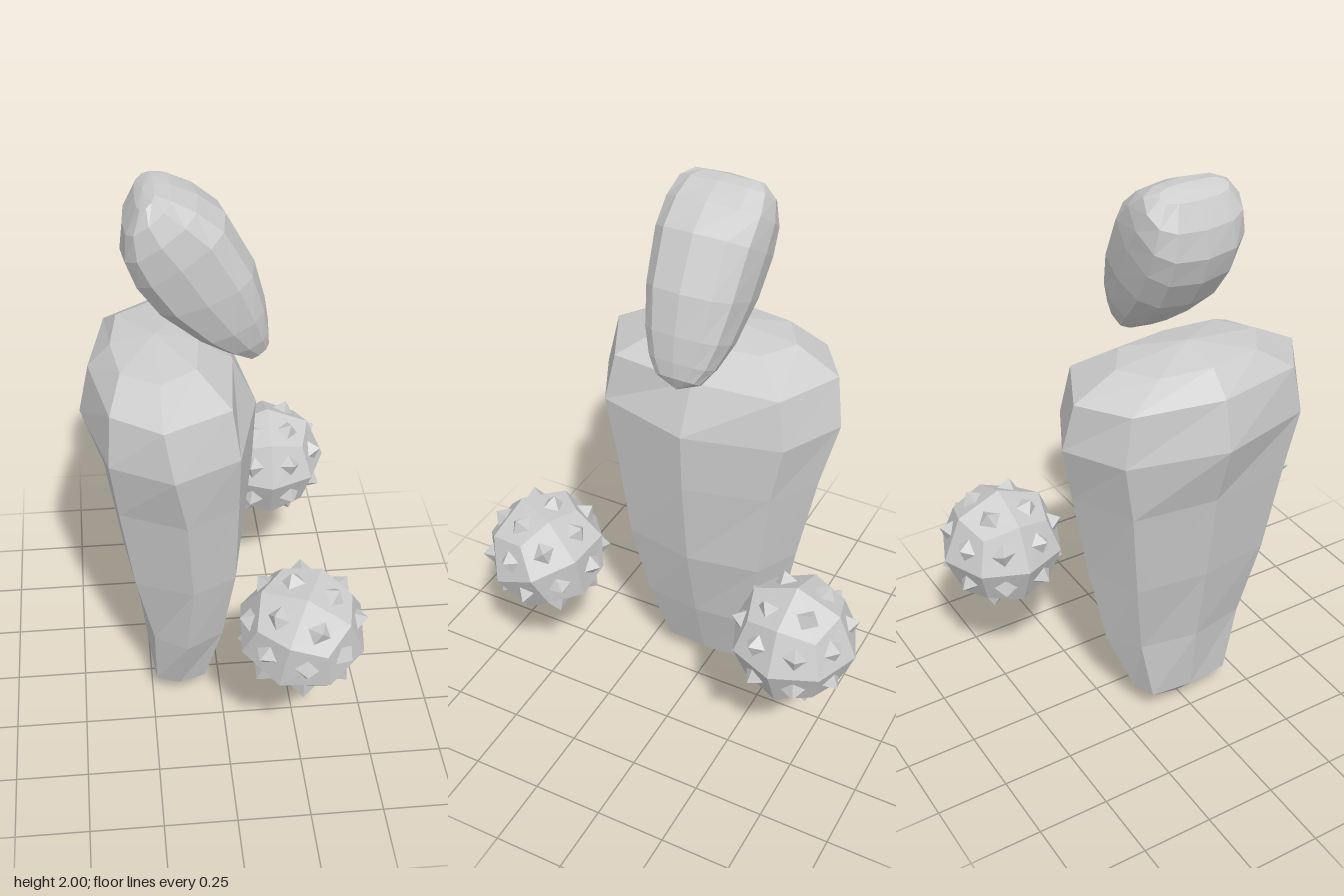
import * as THREE from 'three';

const grey = new THREE.MeshStandardMaterial({ color: 0xcccccc, flatShading: true });
grey.name = 'light grey';

// Skin between rings of points (listed bottom to top), closed by a point at each end
function loft(rings, bottom, top) {
  const n = rings[0].length, pos = [];
  const tri = (...points) => points.forEach((p) => pos.push(...p));
  for (let k = 0; k < n; k++) {
    const m = (k + 1) % n;
    tri(bottom, rings[0][k], rings[0][m]);
    for (let j = 0; j < rings.length - 1; j++) {
      const a = rings[j], b = rings[j + 1];
      tri(a[k], b[k], a[m]);
      tri(a[m], b[k], b[m]);
    }
    const last = rings[rings.length - 1];
    tri(last[k], top, last[m]);
  }
  return fromPositions(pos);
}

function fromPositions(pos) {
  const g = new THREE.BufferGeometry();
  g.setAttribute('position', new THREE.Float32BufferAttribute(pos, 3));
  g.computeVertexNormals();
  return g;
}

function named(name, geometry) {
  const mesh = new THREE.Mesh(geometry, grey);
  mesh.name = name;
  return mesh;
}

// Eight-sided tapering body
function bodyGeometry() {
  // y, front x, front corner x, side x, back corner x, back x, corner z, side z
  const rows = [
    [0.10, -0.05, -0.06, -0.155, -0.235, -0.25, 0.15, 0.18],
    [0.35, 0.02, 0.0, -0.13, -0.24, -0.28, 0.2, 0.275],
    [0.65, 0.085, 0.04, -0.11, -0.30, -0.335, 0.25, 0.33],
    [0.98, 0.12, 0.045, -0.13, -0.345, -0.385, 0.29, 0.39],
    [1.20, 0.13, 0.045, -0.17, -0.37, -0.455, 0.33, 0.44],
    [1.37, 0.05, 0.02, -0.2, -0.36, -0.42, 0.3, 0.41],
    [1.45, -0.06, -0.08, -0.2, -0.32, -0.345, 0.18, 0.26],
  ];
  const rings = rows.map(([y, f, fc, s, bc, b, cz, sz]) => [
    [f, y, 0], [fc, y, cz], [s, y, sz], [bc, y, cz],
    [b, y, 0], [bc, y, -cz], [s, y, -sz], [fc, y, -cz],
  ]);
  return loft(rings, [-0.16, 0, 0], [-0.2, 1.48, 0]);
}

// Slanted head: rounded-square sections along a tilted axis
function headGeometry() {
  // underside x, y, face side x, y, half width
  const rows = [
    [0.09, 1.4, 0.165, 1.455, 0.075],
    [0.02, 1.435, 0.163, 1.51, 0.11],
    [-0.07, 1.49, 0.15, 1.6, 0.14],
    [-0.2, 1.6, 0.115, 1.73, 0.165],
    [-0.27, 1.7, 0.025, 1.895, 0.178],
    [-0.3, 1.79, -0.06, 1.96, 0.178],
    [-0.29, 1.88, -0.14, 1.995, 0.162],
    [-0.25, 1.96, -0.19, 1.998, 0.12],
  ];
  const round = (v) => Math.sign(v) * Math.abs(v) ** 0.72;
  const rings = rows.map(([bx, by, fx, fy, w]) => Array.from({ length: 12 }, (_, k) => {
    const a = (k / 12) * Math.PI * 2;
    const t = (1 + round(Math.cos(a))) / 2;
    return [bx + (fx - bx) * t, by + (fy - by) * t, 0.005 + w * round(Math.sin(a))];
  }));
  return loft(rings, [0.14, 1.398, 0.005], [-0.225, 1.985, 0.005]);
}

// Ball of 24 kite faces, with a small four-sided spike on each
function addHand(group, side, rotation) {
  const radius = 0.217;
  const ball = new THREE.BoxGeometry(2, 2, 2, 2, 2, 2);
  const p = ball.attributes.position, v = new THREE.Vector3();
  for (let i = 0; i < p.count; i++) {
    v.fromBufferAttribute(p, i);
    const corner = v.lengthSq() > 2.5 ? 0.96 : 1;
    v.setLength(radius * corner);
    p.setXYZ(i, v.x, v.y, v.z);
  }
  ball.computeVertexNormals();

  const spikes = [], idx = ball.index.array;
  for (let q = 0; q < idx.length; q += 6) {
    const c = [0, 1, 4, 2].map((o) => new THREE.Vector3().fromBufferAttribute(p, idx[q + o]));
    const centre = new THREE.Vector3();
    c.forEach((corner) => centre.addScaledVector(corner, 0.25));
    const base = c.map((corner, i) =>
      corner.clone().add(c[(i + 1) % 4]).multiplyScalar(0.5).lerp(centre, 0.45));
    const tip = centre.clone().setLength(radius * 1.04);
    base.forEach((b, i) => {
      for (const point of [b, base[(i + 1) % 4], tip]) spikes.push(...point.toArray());
    });
  }

  const hand = new THREE.Group();
  hand.name = side > 0 ? 'handFront' : 'handBack';
  hand.add(named('ball', ball), named('spikes', fromPositions(spikes)));
  hand.position.set(0.235, 0.617, side * 0.483);
  hand.rotation.set(...rotation);
  group.add(hand);
}

export function createModel() {
  const model = new THREE.Group();
  model.name = 'floatingFigure';
  model.add(named('body', bodyGeometry()), named('head', headGeometry()));
  addHand(model, 1, [0.42, -0.46, 0]);
  addHand(model, -1, [0, 0, 0]);
  return model;
}
